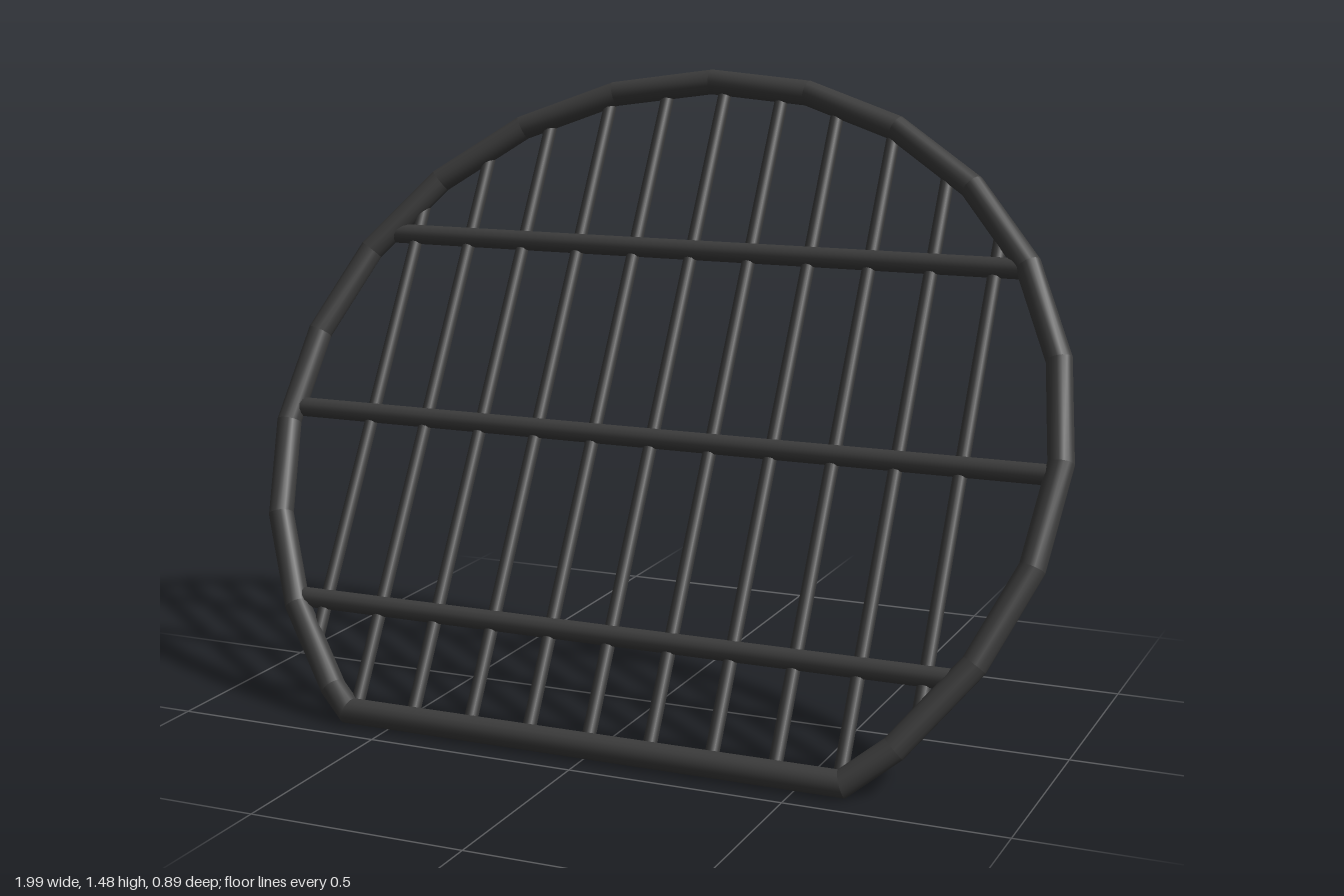
import * as THREE from 'three';
import { mergeGeometries } from 'three/addons/utils/BufferGeometryUtils.js';

const A = 0.967, B = 0.92, CENTRE = -0.098, BOTTOM = -0.829;
const RIM_R = 0.03, CROSS_R = 0.024, ROD_R = 0.016;

// Rim outline: an ellipse in straight steps, cut flat at the bottom with eased corners
function rimOutline() {
  const pts = [new THREE.Vector2(0.606, BOTTOM), new THREE.Vector2(0.706, -0.739)];
  for (let i = 1; i <= 17; i++) {
    const t = THREE.MathUtils.degToRad(-43.6 + 15.08 * i);
    pts.push(new THREE.Vector2(A * Math.cos(t), CENTRE + B * Math.sin(t)));
  }
  pts.push(new THREE.Vector2(-0.663, -0.781), new THREE.Vector2(-0.606, BOTTOM));
  return pts;
}

// Closed round bar with mitred joints
function mitredTube(pts, radius, sides = 16) {
  const n = pts.length;
  const rings = pts.map((p, i) => {
    const d0 = p.clone().sub(pts[(i + n - 1) % n]).normalize();
    const d1 = pts[(i + 1) % n].clone().sub(p).normalize();
    const t = d0.clone().add(d1).normalize();
    const out = new THREE.Vector2(t.y, -t.x).divideScalar(t.dot(d1));
    const ring = [];
    for (let k = 0; k < sides; k++) {
      const a = (k / sides) * Math.PI * 2, c = radius * Math.cos(a);
      ring.push(p.x + out.x * c, p.y + out.y * c, radius * Math.sin(a));
    }
    return ring;
  });
  const index = [];
  for (let k = 0; k < sides; k++) {
    const j = (k + 1) % sides;
    index.push(k, k + sides, j, j, k + sides, j + sides);
  }
  return mergeGeometries(rings.map((ring, i) => {
    const g = new THREE.BufferGeometry();
    g.setAttribute('position', new THREE.Float32BufferAttribute([...ring, ...rings[(i + 1) % n]], 3));
    g.setIndex(index);
    g.computeVertexNormals();
    return g;
  }));
}

// Lowest and highest points of the outline at a given x
function spanAt(pts, x) {
  const hits = [];
  pts.forEach((p, i) => {
    const q = pts[(i + 1) % pts.length];
    if ((p.x - x) * (q.x - x) <= 0) hits.push(p.y + (q.y - p.y) * (x - p.x) / (q.x - p.x));
  });
  return [Math.min(...hits), Math.max(...hits)];
}

export function createModel() {
  const iron = new THREE.MeshStandardMaterial({ color: 0x3c3c3c });
  iron.name = 'dark iron';
  const model = new THREE.Group();
  model.name = 'leaningGrate';
  const grate = new THREE.Group();
  grate.name = 'grate';
  grate.position.y = 0.745;
  grate.rotation.x = THREE.MathUtils.degToRad(-30.3);
  model.add(grate);

  const add = (geometry, name) => {
    const mesh = new THREE.Mesh(geometry, iron);
    mesh.name = name;
    grate.add(mesh);
    return mesh;
  };

  const outline = rimOutline();
  add(mitredTube(outline, RIM_R), 'rim');

  // Three thick cross bars
  for (const v of [-0.573, -0.098, 0.379]) {
    const half = A * Math.sqrt(1 - ((v - CENTRE) / B) ** 2) - 0.005;
    const bar = add(new THREE.CylinderGeometry(CROSS_R, CROSS_R, half * 2, 12), 'crossBar');
    bar.rotation.z = Math.PI / 2;
    bar.position.set(0, v, -0.006);
  }

  // Eleven thin upright rods, set slightly back, their feet just past the bottom bar
  for (let i = -5; i <= 5; i++) {
    const x = i * 0.149;
    const [bottom, top] = spanAt(outline, x);
    const low = bottom - 0.018;
    const rod = add(new THREE.CylinderGeometry(ROD_R, ROD_R, top - low, 10), 'uprightRod');
    rod.position.set(x, (top + low) / 2, -0.012);
  }
  return model;
}
